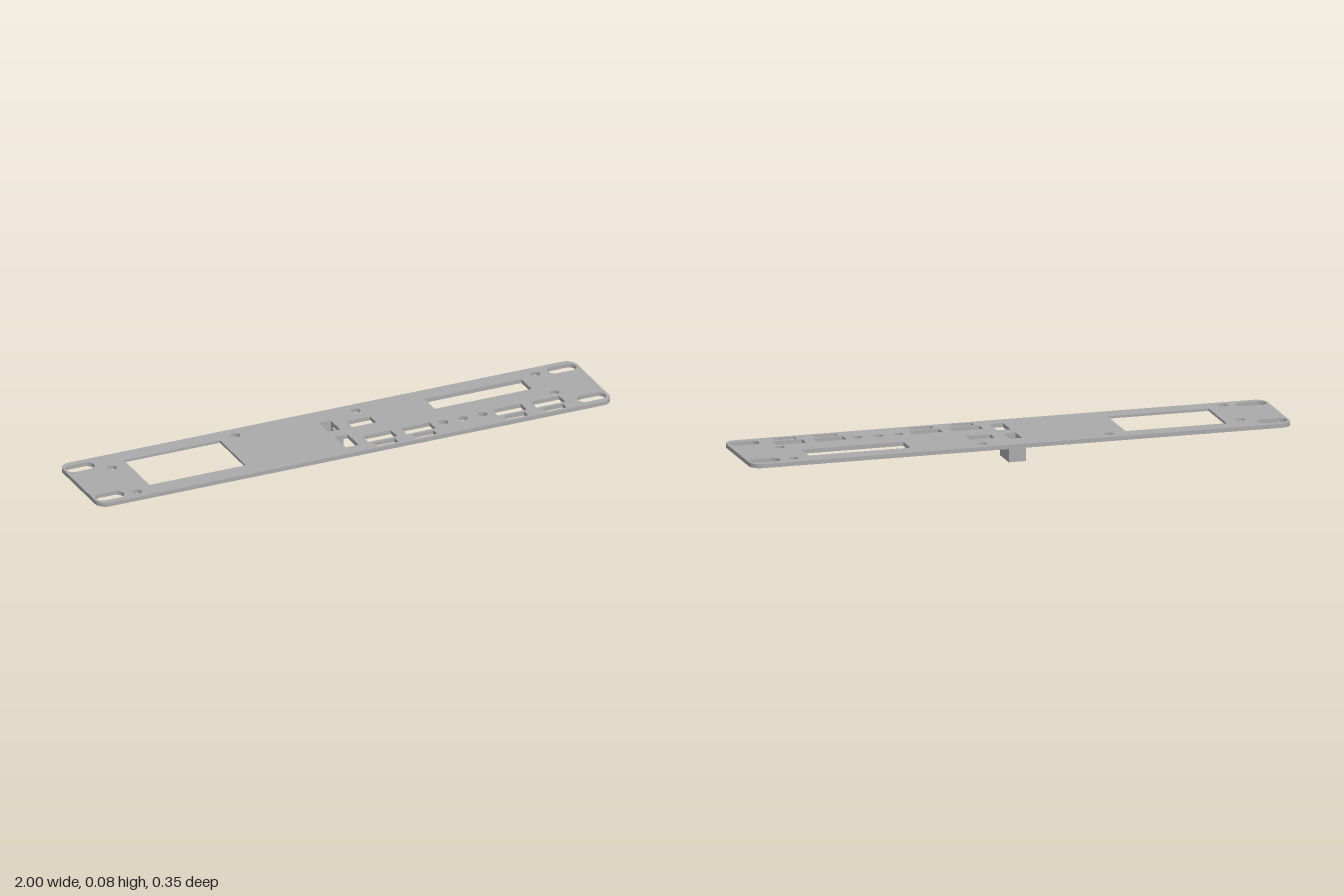
import * as THREE from 'three';

const BOTTOM = 0.068, TOP = 0.083;

// All outlines are given in plan (x, z); shape y is -z so the extrusion rises along +y.
function rect(path, x0, x1, z0, z1) {
  path.moveTo(x0, -z1);
  path.lineTo(x1, -z1);
  path.lineTo(x1, -z0);
  path.lineTo(x0, -z0);
  path.closePath();
  return path;
}

function roundRect(path, x0, x1, z0, z1, r) {
  path.absarc(x1 - r, -z0 - r, r, 0, Math.PI / 2);
  path.absarc(x0 + r, -z0 - r, r, Math.PI / 2, Math.PI);
  path.absarc(x0 + r, -z1 + r, r, Math.PI, Math.PI * 1.5);
  path.absarc(x1 - r, -z1 + r, r, Math.PI * 1.5, Math.PI * 2);
  path.closePath();
  return path;
}

function circle(x, z, r) {
  return new THREE.Path().absarc(x, -z, r, 0, Math.PI * 2);
}

function slab(name, shape, y0, y1, material) {
  const geometry = new THREE.ExtrudeGeometry(shape, { depth: y1 - y0, bevelEnabled: false, curveSegments: 10 });
  geometry.rotateX(-Math.PI / 2);
  geometry.translate(0, y0, 0);
  const mesh = new THREE.Mesh(geometry, material);
  mesh.name = name;
  return mesh;
}

export function createModel() {
  const group = new THREE.Group();
  group.name = 'faceplate';
  const grey = new THREE.MeshStandardMaterial({ color: 0xaaaaaa });
  grey.name = 'grey';

  // Panel with rounded corners
  const panel = roundRect(new THREE.Shape(), -1, 1, -0.175, 0.175, 0.04);
  const cut = (...r) => panel.holes.push(rect(new THREE.Path(), ...r));

  // Rack mounting slots
  for (const x of [-0.938, 0.936])
    for (const z of [-0.125, 0.125])
      panel.holes.push(roundRect(new THREE.Path(), x - 0.054, x + 0.054, z - 0.027, z + 0.027, 0.0269));

  // Display openings; the large one is cut to its rear recess size
  const recess = [-0.8, -0.375, -0.135, 0.13];
  cut(...recess);
  cut(0.394, 0.771, -0.108, -0.022);

  // Switch, sleeve and connector openings
  cut(0.07, 0.162, -0.063, -0.012);
  cut(-0.023, 0.022, -0.092, -0.014);
  cut(-0.02, 0.03, 0.034, 0.125);

  // Ports with a label window in front of each
  for (const x of [0.127, 0.277, 0.631, 0.781]) {
    cut(x - 0.056, x + 0.056, 0.068, 0.119);
    cut(x - 0.041, x + 0.041, 0.13, 0.162);
  }

  // Button and screw holes
  const holes = [[0.378, 0.087], [0.453, 0.087], [0.53, 0.087], [0.833, -0.127], [0.833, 0.036],
    [0.135, -0.127], [-0.333, -0.127], [-0.836, -0.076], [-0.836, 0.135]];
  for (const [x, z] of holes) panel.holes.push(circle(x, z, 0.017));
  group.add(slab('panel', panel, BOTTOM, TOP, grey));

  // Thin lip around the large display opening
  const lip = rect(new THREE.Shape(), ...recess);
  lip.holes.push(rect(new THREE.Path(), -0.774, -0.4, -0.111, 0.106));
  group.add(slab('displayLip', lip, BOTTOM + 0.006, TOP, grey));

  // Open sleeve below the panel with a small latch inside
  const sleeve = rect(new THREE.Shape(), -0.035, 0.029, -0.104, 0.002);
  sleeve.holes.push(rect(new THREE.Path(), -0.023, 0.022, -0.092, -0.014));
  group.add(slab('sleeve', sleeve, 0, BOTTOM, grey));
  group.add(slab('sleeveLatch', rect(new THREE.Shape(), 0.013, 0.022, -0.065, -0.04), 0.03, BOTTOM, grey));

  return group;
}
